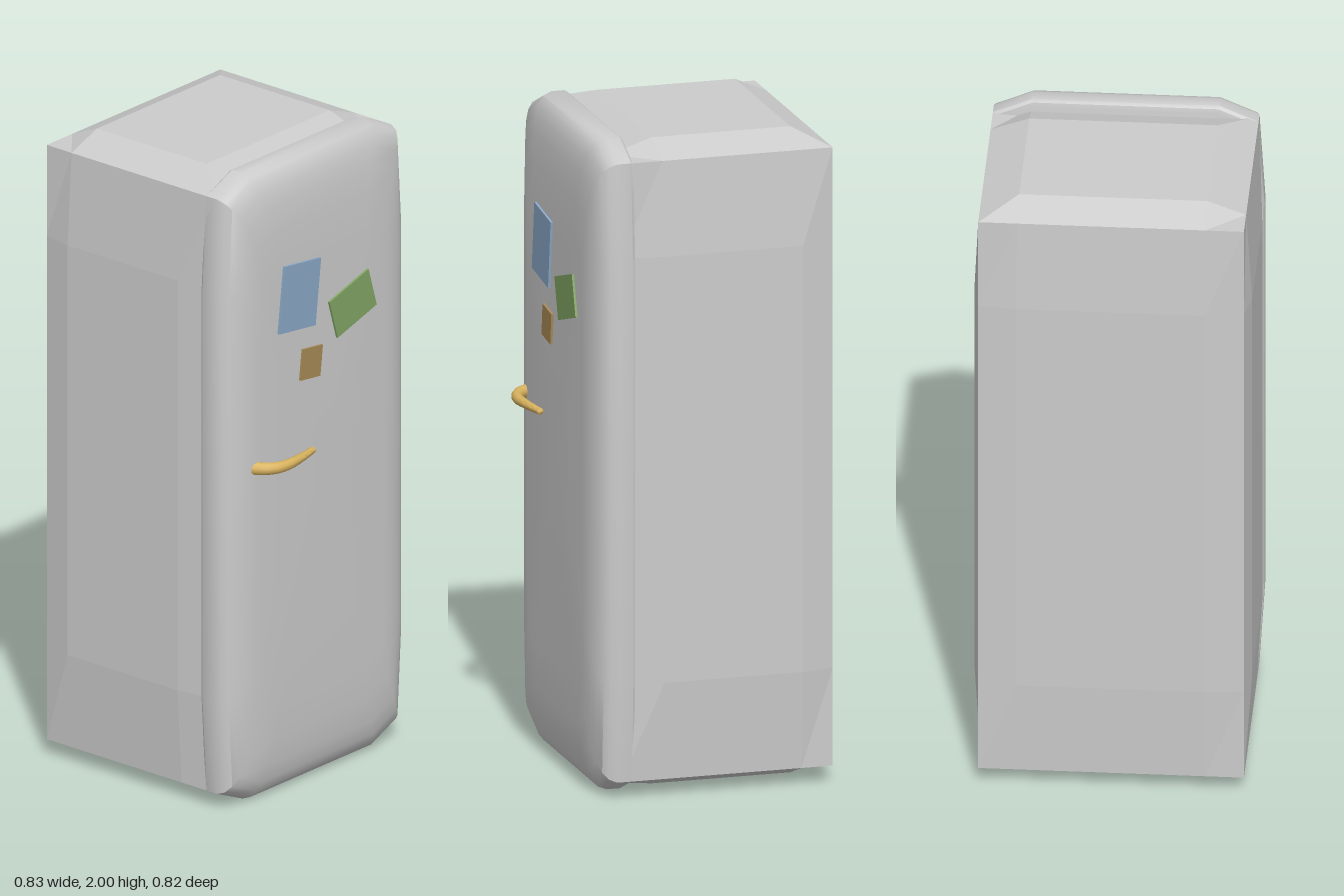
import * as THREE from 'three';
import { toCreasedNormals } from 'three/addons/utils/BufferGeometryUtils.js';

const mat = (color, extra = {}) => new THREE.MeshStandardMaterial({ color, ...extra });

function add(group, name, geometry, material) {
  const mesh = new THREE.Mesh(geometry, material);
  mesh.name = name;
  group.add(mesh);
  return mesh;
}

// Cabinet: a 3x3x3 box with straight edges and slightly swollen faces
function cabinetGeometry() {
  const xs = [-0.395, -0.28, 0.28, 0.395];
  const ys = [0.05, 0.35, 1.66, 1.95];
  const zs = [-0.397, -0.3, 0.13, 0.26];
  const geo = new THREE.BoxGeometry(2, 2, 2, 3, 3, 3);
  const pos = geo.attributes.position;
  const index = (v) => Math.round((v + 1) * 1.5);
  const inner = (i) => i === 1 || i === 2;
  const swell = (i, a, b, amount) => (!inner(i) && inner(a) && inner(b) ? (i ? amount : -amount) : 0);
  for (let n = 0; n < pos.count; n++) {
    const i = index(pos.getX(n)), j = index(pos.getY(n)), k = index(pos.getZ(n));
    pos.setXYZ(n,
      xs[i] + swell(i, j, k, 0.018),
      ys[j] + swell(j, i, k, 0.043),
      zs[k] + swell(k, i, j, 0.013));
  }
  const flat = geo.toNonIndexed();
  flat.computeVertexNormals();
  return flat;
}

// Door: a twelve-sided outline lofted through rings that shrink toward the front
function doorGeometry() {
  const quarter = [[0.413, 0.66], [0.395, 0.95], [0.28, 1]];
  const flip = (list, sx, sy) => list.map(([x, y]) => [x * sx, y * sy]);
  const back = [...quarter].reverse();
  const outline = [...quarter, ...flip(back, -1, 1), ...flip(quarter, -1, -1), ...flip(back, 1, -1)];
  // z, inset in x, inset in y
  const rings = [
    [0.215, 0.413, 1], [0.215, 0.02, 0.02], [0.219, 0.006, 0.006], [0.228, 0, 0], [0.27, 0, 0],
    [0.295, 0.006, 0.01], [0.312, 0.02, 0.03], [0.325, 0.042, 0.06], [0.335, 0.068, 0.11],
    [0.342, 0.1, 0.19], [0.345, 0.135, 0.32], [0.345, 0.413, 1],
  ];
  const n = outline.length;
  const points = [], faces = [];
  for (const [z, ix, iy] of rings)
    for (const [x, y] of outline) points.push(x * (1 - ix / 0.413), 1 + y * (1 - iy), z);
  for (let r = 0; r < rings.length - 1; r++)
    for (let i = 0; i < n; i++) {
      const a = r * n + i, b = r * n + (i + 1) % n;
      if (r > 0) faces.push(a, b, b + n);
      if (r < rings.length - 2) faces.push(a, b + n, a + n);
      else faces.splice(faces.length - 3, 3, a, b, a + n);
    }
  const geo = new THREE.BufferGeometry();
  geo.setAttribute('position', new THREE.Float32BufferAttribute(points, 3));
  geo.setIndex(faces);
  return toCreasedNormals(geo, 0.6);
}

// Handle: a curved tube that thins toward its free end
function handleGeometry() {
  const path = new THREE.CatmullRomCurve3([
    [-0.305, 1.08, 0.33], [-0.285, 1.08, 0.361], [-0.255, 1.08, 0.383],
    [-0.215, 1.08, 0.391], [-0.15, 1.079, 0.384], [-0.066, 1.077, 0.365],
  ].map((p) => new THREE.Vector3(...p)));
  const steps = 40, sides = 10;
  const geo = new THREE.TubeGeometry(path, steps, 1, sides);
  const pos = geo.attributes.position;
  const v = new THREE.Vector3();
  for (let s = 0; s <= steps; s++) {
    const centre = path.getPointAt(s / steps);
    const radius = s === steps ? 0 : 0.021 - 0.011 * (s / steps);
    for (let i = 0; i <= sides; i++) {
      const n = s * (sides + 1) + i;
      v.fromBufferAttribute(pos, n).sub(centre).multiplyScalar(radius).add(centre);
      pos.setXYZ(n, v.x, v.y, v.z);
    }
  }
  return toCreasedNormals(geo, 0.9);
}

export function createModel() {
  const group = new THREE.Group();
  group.name = 'refrigerator';
  const grey = mat(0xcccccc);

  add(group, 'cabinet', cabinetGeometry(), grey);
  add(group, 'door', doorGeometry(), grey);
  add(group, 'handle', handleGeometry(), mat(0xd9b35f));

  // Paper notes stuck on the door
  const notes = [
    ['blueNote', 0x8ba8c7, -0.113, 1.577, 0.167, 0.21, -0.12],
    ['greenNote', 0x82a665, 0.128, 1.48, 0.185, 0.13, 0.29],
    ['brownNote', 0xa88b56, -0.06, 1.348, 0.09, 0.097, -0.12],
  ];
  for (const [name, color, x, y, w, h, turn] of notes) {
    const note = add(group, name, new THREE.BoxGeometry(w, h, 0.012), mat(color));
    note.position.set(x, y, 0.346);
    note.rotation.z = turn;
  }
  return group;
}
